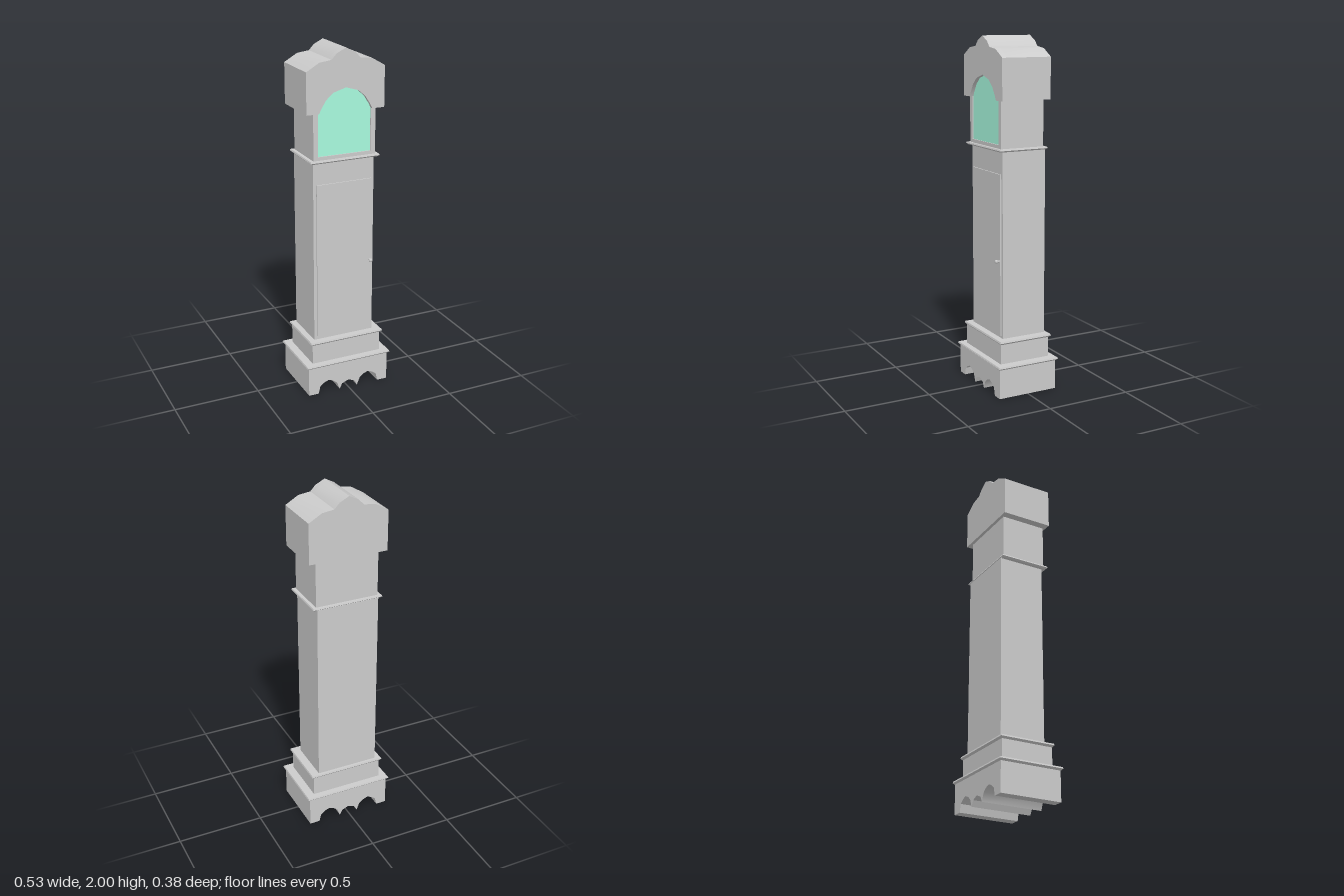
import * as THREE from 'three';
import { toCreasedNormals } from 'three/addons/utils/BufferGeometryUtils.js';

const wood = new THREE.MeshStandardMaterial({ color: 0xcccccc });
const glass = new THREE.MeshStandardMaterial({ color: 0xa8fbdf });
const CX = -0.007; // centre line of the upper case

export function createModel() {
  const clock = new THREE.Group();

  const add = (name, geometry, material = wood) => {
    const mesh = new THREE.Mesh(geometry, material);
    mesh.name = name;
    clock.add(mesh);
    return mesh;
  };

  // Box given by its limits
  const box = (name, x0, x1, y0, y1, z0, z1) =>
    add(name, new THREE.BoxGeometry(x1 - x0, y1 - y0, z1 - z0))
      .position.set((x0 + x1) / 2, (y0 + y1) / 2, (z0 + z1) / 2);

  // Moulding: a slab whose lower half tapers inwards
  const moulding = (name, x0, x1, y0, y1, z0, z1) => {
    const w = x1 - x0, h = y1 - y0, d = z1 - z0;
    const g = new THREE.BoxGeometry(w, h, d, 1, 2, 1).toNonIndexed();
    const p = g.attributes.position;
    for (let i = 0; i < p.count; i++) {
      const y = p.getY(i);
      const inset = y > h / 4 ? 0.003 : y < -h / 4 ? 0.009 : 0;
      p.setX(i, p.getX(i) - Math.sign(p.getX(i)) * inset);
      p.setZ(i, p.getZ(i) - Math.sign(p.getZ(i)) * inset);
    }
    g.computeVertexNormals();
    add(name, g).position.set((x0 + x1) / 2, (y0 + y1) / 2, (z0 + z1) / 2);
  };

  // Outline extruded from z0 to z1, softened across shallow angles
  const profile = (name, points, z0, z1, material) => {
    const shape = new THREE.Shape(points.map(([x, y]) => new THREE.Vector2(x, y)));
    const g = new THREE.ExtrudeGeometry(shape, { depth: z1 - z0, bevelEnabled: false });
    g.translate(0, 0, z0);
    return add(name, toCreasedNormals(g, 0.6), material);
  };

  // Mirrors a left half outline [offset, y] about a centre line
  const mirror = (half, cx) => [
    ...half.map(([x, y]) => [cx + x, y]),
    ...half.filter(([x]) => x !== 0).reverse().map(([x, y]) => [cx - x, y]),
  ];

  // Scalloped base
  const scallops = mirror([
    [-0.191, 0], [-0.18, 0.045], [-0.155, 0.064], [-0.127, 0.075], [-0.098, 0.064],
    [-0.074, 0.045], [-0.056, 0], [-0.04, 0.032], [0, 0.048],
  ], 0);
  profile('base', [[-0.251, 0], ...scallops, [0.251, 0], [0.251, 0.172], [-0.251, 0.172]], -0.18, 0.18);
  moulding('baseMoulding', -0.264, 0.264, 0.17, 0.188, -0.19, 0.19);

  // Plinth
  box('plinth', -0.215, 0.213, 0.186, 0.305, -0.153, 0.153);
  moulding('plinthMoulding', -0.227, 0.227, 0.303, 0.322, -0.164, 0.162);

  // Trunk, door and knob
  box('trunk', -0.19, 0.177, 0.32, 1.385, -0.146, 0.121);
  box('door', -0.172, 0.16, 0.335, 1.255, 0.119, 0.128);
  const stem = add('knobStem', new THREE.CylinderGeometry(0.005, 0.005, 0.02, 10));
  stem.rotation.x = Math.PI / 2;
  stem.position.set(0.153, 0.768, 0.136);
  const knob = add('knob', new THREE.SphereGeometry(0.011, 14, 10));
  knob.scale.z = 0.8;
  knob.position.set(0.153, 0.768, 0.149);
  moulding('trunkMoulding', -0.214, 0.2, 1.381, 1.397, -0.148, 0.149);

  // Dial case with a framed window
  box('dialCase', -0.192, 0.178, 1.395, 1.67, -0.132, 0.118);
  box('frameRight', -0.192, -0.164, 1.395, 1.67, 0.118, 0.133);
  box('frameLeft', 0.15, 0.178, 1.395, 1.67, 0.118, 0.133);
  box('frameBottom', -0.164, 0.15, 1.395, 1.417, 0.118, 0.133);

  // Arched window pane and the matching cut in the hood front
  const arch = mirror([
    [-0.157, 1.658], [-0.147, 1.68], [-0.115, 1.73], [-0.073, 1.766], [0, 1.788],
  ], CX);
  profile('windowPane', [[CX - 0.157, 1.417], ...arch, [CX + 0.157, 1.417]], 0.114, 0.126, glass);

  // Hood with stepped crest
  const crest = mirror([
    [-0.23, 1.658], [-0.23, 1.888], [-0.154, 1.932], [-0.084, 1.941], [-0.055, 1.972], [0, 2],
  ], CX);
  profile('hood', crest, -0.15, 0.115);
  profile('hoodFront', [...crest, ...arch.slice().reverse()], 0.115, 0.148);

  return clock;
}
